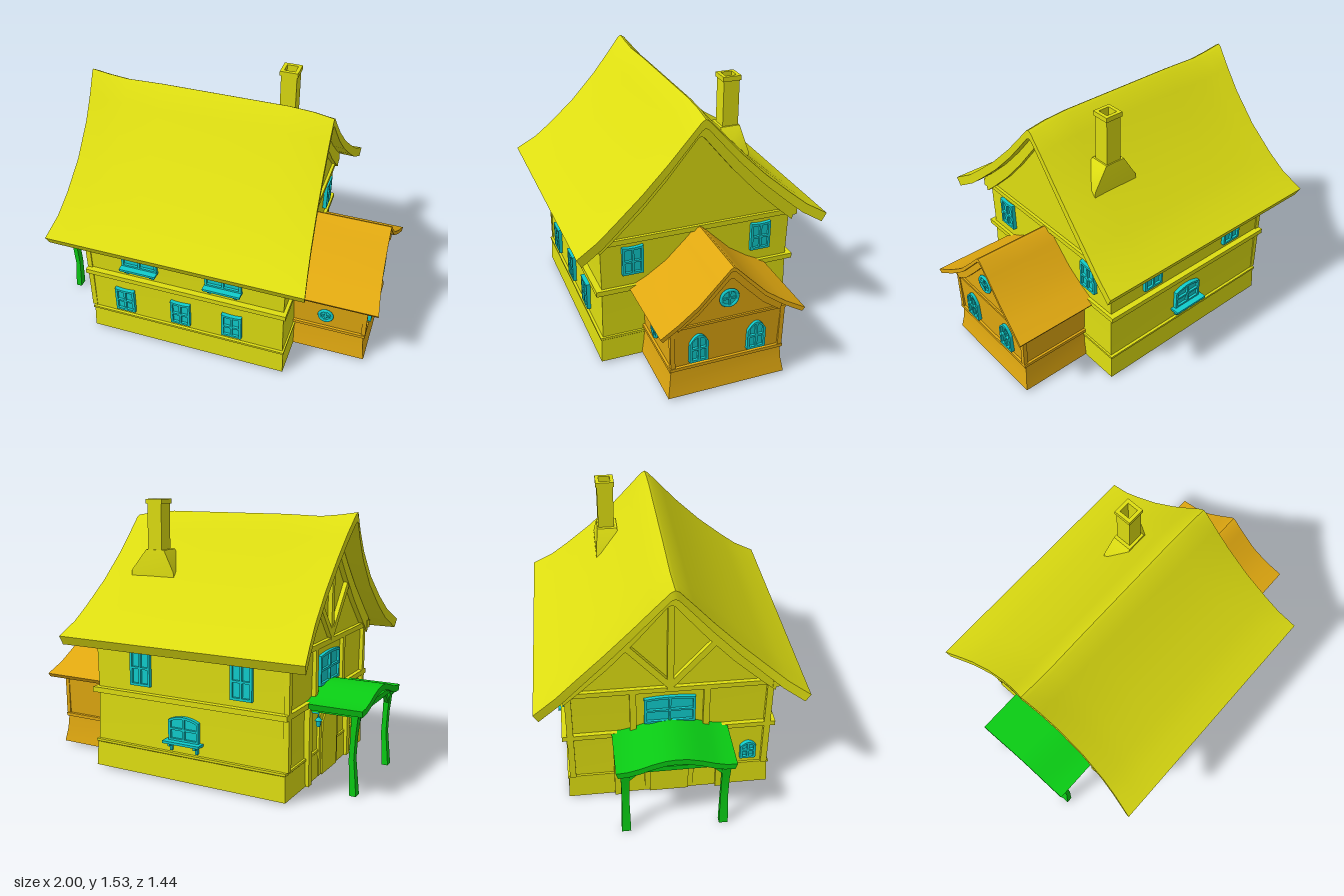
import * as THREE from 'three';
import { toCreasedNormals } from 'three/addons/utils/BufferGeometryUtils.js';

const mat = (color) => new THREE.MeshStandardMaterial({ color, side: THREE.DoubleSide });
const YELLOW = mat(0xdddd11), ORANGE = mat(0xe0a810), GREEN = mat(0x0acc14), CYAN = mat(0x10cccc);

function add(parent, name, geo, material, x = 0, y = 0, z = 0) {
  const m = new THREE.Mesh(geo, material);
  m.name = name;
  m.position.set(x, y, z);
  parent.add(m);
  return m;
}
const box = (p, name, m, w, h, d, x, y, z) => add(p, name, new THREE.BoxGeometry(w, h, d), m, x, y, z);

// Skin through rings of equal point count; caps pair the first half of a ring with the second
function loft(rings, caps = true) {
  const n = rings[0].length, idx = [], last = (rings.length - 1) * n;
  for (let i = 0; i < rings.length - 1; i++) for (let j = 0; j < n; j++) {
    const a = i * n + j, b = i * n + (j + 1) % n;
    idx.push(a, b, b + n, a, b + n, a + n);
  }
  if (caps) for (let j = 0; j < n / 2 - 1; j++) {
    const q = [j, j + 1, n - 2 - j, n - 1 - j];
    idx.push(q[0], q[2], q[1], q[0], q[3], q[2]);
    idx.push(...[q[0], q[1], q[2], q[0], q[2], q[3]].map((k) => k + last));
  }
  const g = new THREE.BufferGeometry();
  g.setAttribute('position', new THREE.Float32BufferAttribute(rings.flat(2), 3));
  g.setIndex(idx);
  return toCreasedNormals(g, 0.6);
}

// Upright shell from rectangles [y, x0, x1, z0, z1]
const tower = (rows, caps) => loft(rows.map(([y, x0, x1, z0, z1]) =>
  [[x1, y, z1], [x1, y, z0], [x0, y, z0], [x0, y, z1]]), caps);

// Gabled roof: half profile [z, y] from the ridge outward, swept along x between two end curves
function roof(half, thick, left, right, sag = [[0, 0], [1, 0]], cz = 0) {
  const zMax = half[half.length - 1][0];
  const top = [...half.slice(1).reverse().map(([z, y]) => [-z, y]), ...half];
  const bottom = top.map(([z, y]) => [z * 0.965, y - thick]).reverse();
  return loft(sag.map(([u, dy]) => [...top, ...bottom].map(([z, y]) => {
    const t = Math.abs(z) / zMax;
    return [THREE.MathUtils.lerp(left(t), right(t), u), y + dy * (1 - t), z + cz];
  })));
}

// Wall infill of the given half outline [z, y], spanning x0..x1
function gable(half, x0, x1) {
  const pts = [...half.slice(1).reverse().map(([z, y]) => [-z, y]), ...half];
  const g = new THREE.ExtrudeGeometry(new THREE.Shape(pts.map((p) => new THREE.Vector2(...p))),
    { depth: x1 - x0, bevelEnabled: false });
  return g.rotateY(-Math.PI / 2).translate(x1, 0, 0);
}

// Timber between two points of a plane x = const
function timber(p, name, m, x, z1, y1, z2, y2, t = 0.035, d = 0.03) {
  const b = box(p, name, m, d, Math.hypot(z2 - z1, y2 - y1), t, x, (y1 + y2) / 2, (z1 + z2) / 2);
  b.rotation.x = Math.atan2(z2 - z1, y2 - y1);
}

// Panel outline with a curved top, between x0..x1
function archOutline(x0, x1, y0, topAt) {
  const pts = [new THREE.Vector2(x0, y0), new THREE.Vector2(x1, y0)];
  for (let i = 0; i <= 8; i++) {
    const x = THREE.MathUtils.lerp(x1, x0, i / 8);
    pts.push(new THREE.Vector2(x, topAt(x)));
  }
  return pts;
}

// Window with four panes; base at the local origin, facing +z
function makeWindow(w, h, rise = 0.01, sill = 0) {
  const g = new THREE.Group();
  g.name = 'window';
  const topAt = (x) => h - rise * (2 * x / w) ** 2, f = 0.014, b = 0.006, mid = h * 0.48;
  const outline = archOutline(-w / 2, w / 2, 0, topAt);
  const frame = new THREE.Shape(outline);
  for (const s of [-1, 1]) {
    const lo = s < 0 ? -w / 2 + f : b, hi = s < 0 ? -b : w / 2 - f;
    frame.holes.push(new THREE.Path(archOutline(lo, hi, f, () => mid - b)));
    frame.holes.push(new THREE.Path(archOutline(lo, hi, mid + b, (x) => topAt(x) - f)));
  }
  add(g, 'windowFrame', new THREE.ExtrudeGeometry(frame, { depth: 0.03, bevelEnabled: false }), CYAN, 0, 0, -0.01);
  add(g, 'windowPane', new THREE.ShapeGeometry(new THREE.Shape(outline)), CYAN, 0, 0, 0.006);
  if (sill) {
    box(g, 'windowSill', CYAN, sill, 0.014, 0.06, 0, -0.004, 0.025);
    for (const s of [-1, 1]) {
      box(g, 'sillBracket', CYAN, 0.014, 0.055, 0.02, s * sill * 0.35, -0.03, 0.008);
      box(g, 'sillBracketArm', CYAN, 0.014, 0.02, 0.045, s * sill * 0.35, -0.018, 0.02);
    }
  }
  return g;
}

function roundWindow(r) {
  const g = new THREE.Group();
  g.name = 'roundWindow';
  add(g, 'roundPane', new THREE.CircleGeometry(r, 16), CYAN, 0, 0, 0.006);
  add(g, 'roundFrame', new THREE.TorusGeometry(r - 0.007, 0.009, 6, 16), CYAN, 0, 0, 0.006);
  box(g, 'roundBar', CYAN, 0.01, 2 * r - 0.01, 0.014, 0, 0, 0.006);
  box(g, 'roundBar', CYAN, 2 * r - 0.01, 0.01, 0.014, 0, 0, 0.006);
  return g;
}

function place(parent, obj, x, y, z, turn = 0) {
  obj.position.set(x, y, z);
  obj.rotation.y = turn * Math.PI / 2;
  parent.add(obj);
}

function mainHouse() {
  const g = new THREE.Group();
  g.name = 'mainHouse';
  add(g, 'walls', tower([[0.01, -0.69, 0.51, -0.575, 0.575], [0.15, -0.685, 0.505, -0.568, 0.568],
    [0.155, -0.69, 0.51, -0.575, 0.575], [0.168, -0.69, 0.51, -0.575, 0.575], [0.17, -0.68, 0.5, -0.56, 0.56],
    [0.45, -0.675, 0.495, -0.555, 0.555], [0.78, -0.68, 0.5, -0.56, 0.56]], false), YELLOW);
  add(g, 'floorBeam', tower([[0.45, -0.7, 0.515, -0.59, 0.59], [0.48, -0.7, 0.515, -0.59, 0.59]]), YELLOW);
  add(g, 'gableWall', gable([[0, 1.385], [0.2, 1.16], [0.35, 1.0], [0.565, 0.82], [0.565, 0.76]], -0.68, 0.5), YELLOW);
  for (const s of [-1, 1]) box(g, 'eaveBeam', YELLOW, 1.24, 0.045, 0.045, -0.095, 0.765, s * 0.575);

  // Sagging roof with flared ends, and the trim under its edges
  const half = [[0, 1.455], [0.02, 1.443], [0.1, 1.35], [0.2, 1.235], [0.35, 1.08], [0.5, 0.945], [0.6, 0.86], [0.72, 0.785]];
  const left = (t) => -0.795 - 0.045 * ((t - 0.45) / 0.5) ** 2, right = (t) => 0.58 + 0.06 * t * t;
  add(g, 'roof', roof(half, 0.05, left, right,
    [[0, 0.02], [0.07, 0.005], [0.15, -0.006], [0.3, 0], [0.6, 0], [0.82, 0], [0.92, -0.01], [1, -0.03]]), YELLOW);
  const trim = half.slice(0, 7).map(([z, y]) => [z * 0.98, y - 0.06]);
  for (const x of [-0.71, 0.49]) add(g, 'gableTrim', roof(trim, 0.085, () => x, () => x + 0.035), YELLOW);

  // Timber framing of the two ends
  for (const x of [-0.69, 0.505]) box(g, 'tieBeam', YELLOW, 0.025, 0.03, 1.16, x, 0.765, 0);
  timber(g, 'kingPost', YELLOW, -0.69, 0, 0.77, 0, 1.32);
  for (const s of [-1, 1]) {
    timber(g, 'gableBrace', YELLOW, -0.69, 0, 0.79, s * 0.24, 1.07);
    timber(g, 'upperPost', YELLOW, -0.685, s * 0.2, 0.48, s * 0.2, 0.76);
    timber(g, 'cornerPost', YELLOW, -0.685, s * 0.545, 0.17, s * 0.545, 0.76);
    timber(g, 'lowerPost', YELLOW, -0.69, s * 0.29, 0.01, s * 0.29, 0.45, 0.045, 0.035);
  }

  // Arched door below the porch
  const door = (w, h) => new THREE.ExtrudeGeometry(new THREE.Shape(archOutline(-w / 2, w / 2, 0,
    (x) => h - 0.07 * (2 * x / w) ** 2)), { depth: 0.015, bevelEnabled: false });
  const d = new THREE.Group();
  d.name = 'door';
  add(d, 'doorSurround', door(0.28, 0.41), YELLOW);
  add(d, 'doorLeaf', door(0.22, 0.375), YELLOW, 0, 0, 0.008);
  place(g, d, -0.68, 0.015, 0, -1);

  // Hollow chimney on a flared base
  add(g, 'chimneyBase', tower([[1.05, 0.12, 0.415, -0.33, -0.185], [1.13, 0.13, 0.41, -0.33, -0.19],
    [1.25, 0.2, 0.32, -0.315, -0.2]]), YELLOW);
  const pipe = (w, y0, y1) => {
    const sq = (r) => [[-r, -r], [r, -r], [r, r], [-r, r]].map((p) => new THREE.Vector2(...p));
    const s = new THREE.Shape(sq(w / 2));
    s.holes.push(new THREE.Path(sq(0.032)));
    return new THREE.ExtrudeGeometry(s, { depth: y1 - y0, bevelEnabled: false }).rotateX(-Math.PI / 2).translate(0, y0, 0);
  };
  add(g, 'chimney', pipe(0.092, 1.2, 1.51), YELLOW, 0.265, 0, -0.262);
  add(g, 'chimneyCap', pipe(0.105, 1.508, 1.535), YELLOW, 0.265, 0, -0.262);

  // Windows
  for (const x of [-0.47, -0.12, 0.195]) place(g, makeWindow(0.12, 0.16, -0.006), x, 0.2, 0.56);
  for (const x of [-0.36, 0.145]) place(g, makeWindow(0.215, 0.145, 0.022, 0.22), x, 0.565, 0.558);
  for (const x of [-0.43, 0.2]) place(g, makeWindow(0.13, 0.21, 0.02), x, 0.52, -0.558, 2);
  place(g, makeWindow(0.19, 0.14, 0.022, 0.23), -0.08, 0.24, -0.56, 2);
  for (const z of [-0.38, 0.38]) place(g, makeWindow(0.12, 0.165, -0.006), 0.5, 0.555, z, 1);
  place(g, makeWindow(0.28, 0.18, 0.01), -0.678, 0.53, 0, -1);
  place(g, makeWindow(0.09, 0.12, 0.03), -0.68, 0.21, 0.45, -1);
  return g;
}

function annex() {
  const g = new THREE.Group();
  g.name = 'annex';
  add(g, 'annexWalls', tower([[0.015, 0.49, 0.94, -0.343, 0.335], [0.1, 0.49, 0.925, -0.328, 0.322],
    [0.175, 0.49, 0.92, -0.322, 0.315], [0.178, 0.49, 0.93, -0.33, 0.325], [0.197, 0.49, 0.93, -0.33, 0.325],
    [0.2, 0.49, 0.918, -0.318, 0.312], [0.45, 0.49, 0.928, -0.328, 0.322]], false), ORANGE);
  add(g, 'annexGable', gable([[0, 0.735], [0.08, 0.655], [0.19, 0.545], [0.325, 0.465], [0.325, 0.44]], 0.49, 0.925), ORANGE, 0, 0, -0.003);
  box(g, 'annexTieBeam', ORANGE, 0.015, 0.014, 0.66, 0.928, 0.448, -0.003);
  const half = [[0, 0.775], [0.015, 0.768], [0.08, 0.7], [0.19, 0.59], [0.3, 0.515], [0.407, 0.46]];
  add(g, 'annexRoof', roof(half, 0.022, () => 0.495, (t) => 0.962 + 0.036 * t * t, [[0, 0], [0.5, 0], [1, 0]], -0.005), ORANGE);
  add(g, 'annexTrim', roof(half.slice(0, 5).map(([z, y]) => [z, y - 0.025]), 0.05, () => 0.905, () => 0.945, undefined, -0.005), ORANGE);
  for (const s of [-1, 1]) {
    timber(g, 'annexCornerPost', ORANGE, 0.918, s * 0.31 - 0.003, 0.2, s * 0.315 - 0.003, 0.45, 0.025, 0.025);
    place(g, makeWindow(0.105, 0.17, 0.05), 0.922, 0.22, s * 0.165, 1);
  }
  place(g, roundWindow(0.055), 0.928, 0.577, 0, 1);
  place(g, roundWindow(0.046), 0.69, 0.29, 0.317);
  return g;
}

function porch() {
  const g = new THREE.Group();
  g.name = 'porch';
  add(g, 'porchRoof', roof([[0, 0.545], [0.06, 0.54], [0.13, 0.522], [0.2, 0.497], [0.26, 0.482], [0.32, 0.478]], 0.035,
    () => -1, () => -0.675, [[0, 0], [0.5, 0], [1, 0]]), GREEN);
  for (const s of [-1, 1]) {
    const z = s * 0.27, post = (y, x, r) => [y, x - r, x + r, z - r - 0.007, z + r + 0.007];
    add(g, 'porchPost', tower([post(0, -0.953, 0.018), post(0.2, -0.938, 0.014), post(0.32, -0.943, 0.014), post(0.45, -0.952, 0.019)]), GREEN);
    box(g, 'porchBeam', GREEN, 0.3, 0.03, 0.04, -0.83, 0.445, z);
    timber(g, 'porchBrace', GREEN, -0.95, z, 0.37, s * 0.18, 0.46, 0.02, 0.022);
  }
  box(g, 'porchCrossBeam', GREEN, 0.035, 0.03, 0.56, -0.955, 0.46, 0);

  // Hanging lantern beside the door
  const l = new THREE.Group();
  l.name = 'lantern';
  box(l, 'lanternArm', CYAN, 0.06, 0.01, 0.01, 0.03, 0.075, 0);
  box(l, 'lanternHook', CYAN, 0.006, 0.03, 0.006, 0, 0.062, 0);
  add(l, 'lanternCap', new THREE.ConeGeometry(0.022, 0.024, 6), CYAN, 0, 0.046, 0);
  add(l, 'lanternGlass', new THREE.CylinderGeometry(0.016, 0.011, 0.034, 6), CYAN, 0, 0.017, 0);
  place(g, l, -0.745, 0.35, -0.28);
  return g;
}

export function createModel() {
  const model = new THREE.Group();
  model.name = 'cottage';
  model.add(mainHouse(), annex(), porch());
  return model;
}
